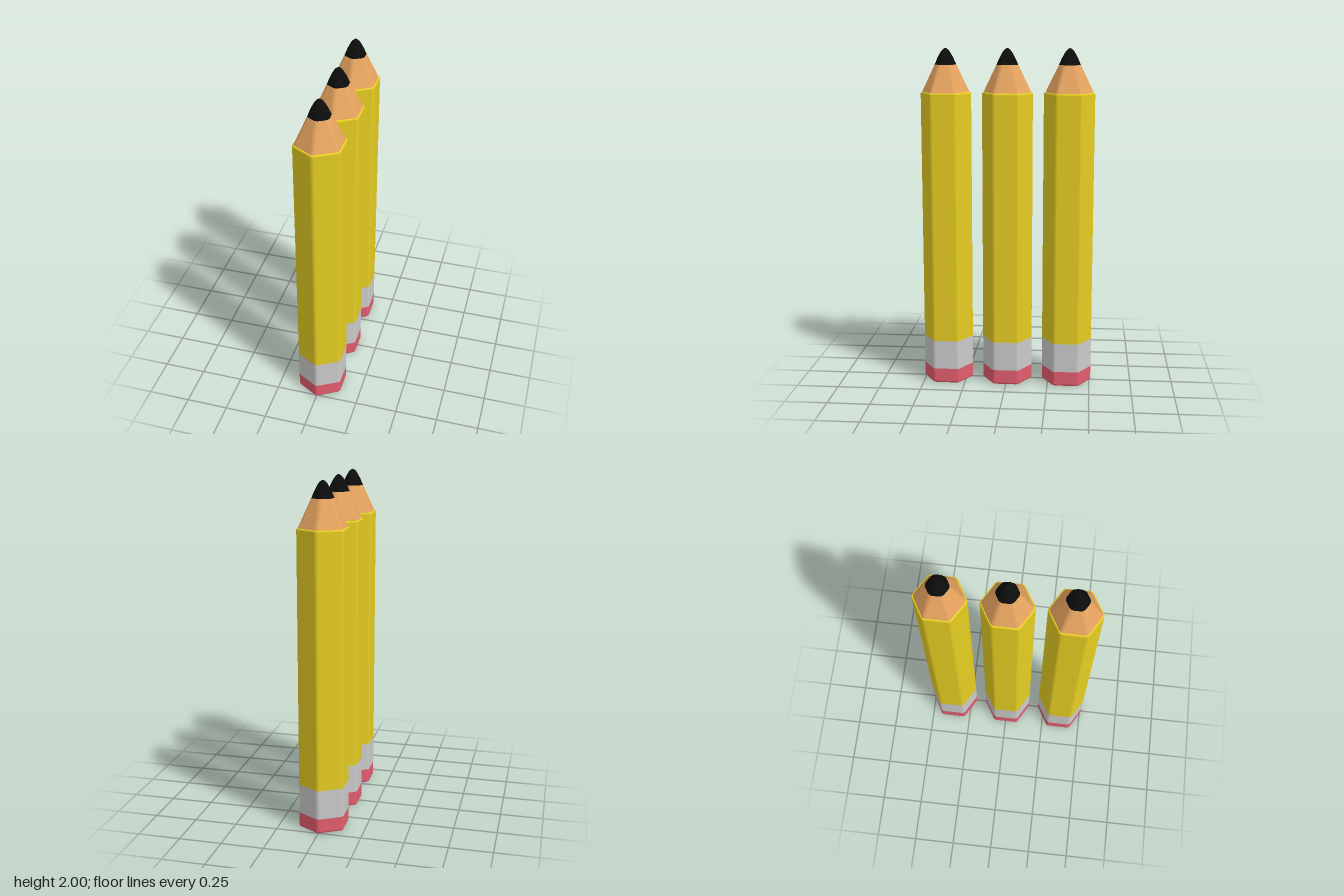
import * as THREE from 'three';

const ARC = 5; // steps around each rounded corner

// Rounded hexagon ring: flat-to-centre distance a, corner radius r, corners on the z axis
function ring(a, r) {
  const pts = [];
  const reach = (a - r) / Math.cos(Math.PI / 6);
  for (let k = 0; k < 6; k++) {
    const mid = Math.PI / 6 + k * Math.PI / 3;
    for (let s = 0; s <= ARC; s++) {
      const t = mid + (s / ARC - 0.5) * Math.PI / 3;
      pts.push({
        x: reach * Math.cos(mid) + r * Math.cos(t),
        z: reach * Math.sin(mid) + r * Math.sin(t),
        nx: Math.cos(t), nz: Math.sin(t),
      });
    }
  }
  return pts;
}

// Skin a profile of [y, a, r] rows running upwards; smooth blends the slopes
function hexLoft(profile, smooth = false) {
  const pos = [], nor = [], idx = [];
  const slope = (i, j) => {
    const dy = profile[j][0] - profile[i][0], da = profile[j][1] - profile[i][1];
    const l = Math.hypot(dy, da);
    return [dy / l, -da / l];
  };
  const last = profile.length - 1;
  for (let i = 0; i < last; i++) {
    const start = pos.length / 3;
    for (const j of [i, i + 1]) {
      const [out, up] = smooth ? slope(Math.max(j - 1, 0), Math.min(j + 1, last)) : slope(i, i + 1);
      for (const p of ring(profile[j][1], profile[j][2])) {
        pos.push(p.x, profile[j][0], p.z);
        nor.push(p.nx * out, up, p.nz * out);
      }
    }
    const n = 6 * (ARC + 1);
    for (let s = 0; s < n; s++) {
      const a = start + s, b = start + (s + 1) % n;
      idx.push(a, a + n, b, b, a + n, b + n);
    }
  }
  const g = new THREE.BufferGeometry();
  g.setAttribute('position', new THREE.Float32BufferAttribute(pos, 3));
  g.setAttribute('normal', new THREE.Float32BufferAttribute(nor, 3));
  g.setIndex(idx);
  return g;
}

export function createModel() {
  const A = 0.132, R = 0.025;
  const parts = [
    // eraser with a softened bottom edge
    ['eraser', 0xe45d6e, hexLoft([[0, 0, 0], [0, 0.122, 0.02], [0.004, 0.129, R], [0.012, A, R], [0.09, A, R]])],
    // metal band
    ['ferrule', 0xcccccc, hexLoft([[0.09, A, R], [0.265, A, R]])],
    // painted shaft with a narrow rim at the top
    ['shaft', 0xe6cd22, hexLoft([[0.265, A, R], [1.738, A, R], [1.744, 0.13, R], [1.747, 0.123, 0.022]])],
    // sharpened wood
    ['wood', 0xe8a560, hexLoft([[1.747, 0.124, 0.022], [1.905, 0.059, 0.032]])],
    // lead, blending from hexagonal to a round tip
    ['lead', 0x0d0d0d, hexLoft([
      [1.905, 0.059, 0.032], [1.94, 0.046, 0.034], [1.965, 0.034, 0.03], [1.982, 0.024, 0.023],
      [1.993, 0.014, 0.014], [1.998, 0.007, 0.007], [2, 0, 0]], true)],
  ].map(([name, color, geometry]) => ({
    name, geometry, material: new THREE.MeshStandardMaterial({ color }),
  }));

  const model = new THREE.Group();
  model.name = 'pencils';
  // three pencils in a row
  ['backPencil', 'middlePencil', 'frontPencil'].forEach((label, i) => {
    const pencil = new THREE.Group();
    pencil.name = label;
    for (const { name, geometry, material } of parts) {
      const mesh = new THREE.Mesh(geometry, material);
      mesh.name = name;
      pencil.add(mesh);
    }
    pencil.position.z = (i - 1) * 0.361;
    model.add(pencil);
  });
  return model;
}
